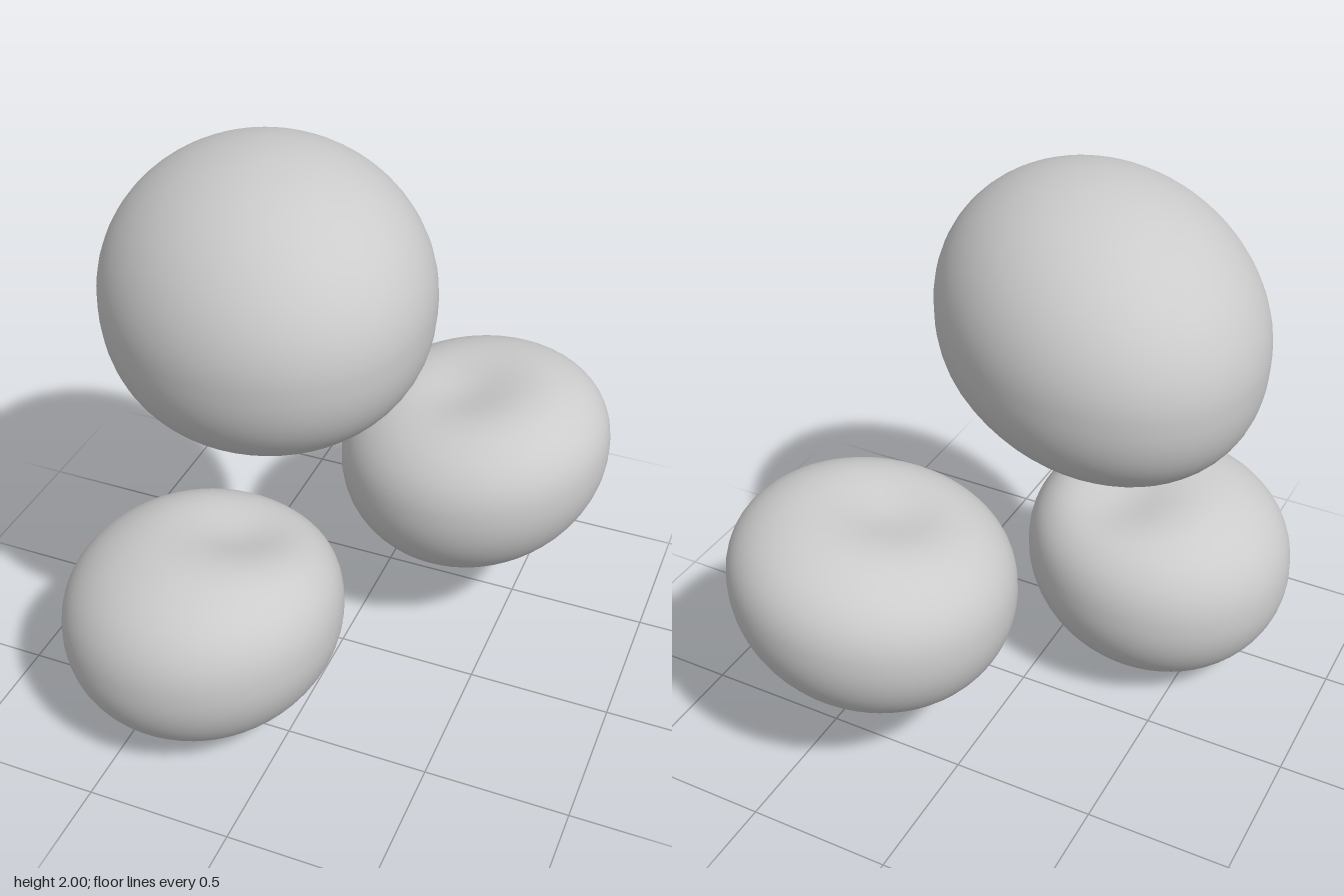
import * as THREE from 'three';
import { mergeVertices } from 'three/addons/utils/BufferGeometryUtils.js';

// Rounded blob: a full dome on one side, a flattened, dimpled face on the other.
function dimpledBlob({ rx, rz, yaw = 0, dome, flat, side, tilt, dent }) {
  let geo = new THREE.SphereGeometry(1, 56, 40);
  const pos = geo.attributes.position;
  const squareness = 2 / 2.35;
  const c = Math.cos(yaw), s = Math.sin(yaw);
  for (let i = 0; i < pos.count; i++) {
    const ux = pos.getX(i), uy = pos.getY(i), uz = pos.getZ(i);
    const rho = Math.hypot(ux, uz), t = Math.abs(uy);
    const onFlat = uy * side > 0;
    // squarer shoulder on the flattened side
    const k = onFlat && rho > 1e-6 ? Math.pow(rho, squareness) / rho : 1;
    const ex = ux * k * rx, ez = uz * k * rz;
    const x = ex * c - ez * s, z = ex * s + ez * c;
    let y = uy * dome;
    if (onFlat) {
      const d2 = (x - dent.x) ** 2 + (z - dent.z) ** 2;
      const hollow = dent.depth * Math.exp(-d2 / dent.radius ** 2) * Math.min(1, t * 2);
      y = side * (flat * Math.pow(t, squareness) - hollow);
    }
    // lean the whole body
    pos.setXYZ(i, x, y + tilt[0] * x + tilt[1] * z, z);
  }
  geo.deleteAttribute('uv');
  geo.deleteAttribute('normal');
  geo = mergeVertices(geo, 1e-5);
  geo.computeVertexNormals();
  return geo;
}

export function createModel() {
  const group = new THREE.Group();
  const material = new THREE.MeshStandardMaterial({ color: 0xcccccc, roughness: 0.7 });

  const blobs = [
    { // large blob, hollow underneath
      name: 'upperBlob', at: [-0.213, 1.53, 0.12],
      rx: 0.625, rz: 0.52, yaw: Math.PI / 4, dome: 0.468, flat: 0.45, side: -1,
      tilt: [0.06, -0.02], dent: { x: 0.1, z: -0.06, depth: 0.13, radius: 0.28 },
    },
    { // front blob, hollow on top
      name: 'frontBlob', at: [-0.33, 0.415, 0.45],
      rx: 0.48, rz: 0.48, dome: 0.41, flat: 0.35, side: 1,
      tilt: [0.08, 0.0], dent: { x: 0.1, z: -0.13, depth: 0.08, radius: 0.2 },
    },
    { // back blob, hollow on top
      name: 'backBlob', at: [0.33, 0.685, -0.45],
      rx: 0.48, rz: 0.48, dome: 0.415, flat: 0.315, side: 1,
      tilt: [0.09, -0.04], dent: { x: -0.05, z: 0.05, depth: 0.07, radius: 0.2 },
    },
  ];

  for (const blob of blobs) {
    const mesh = new THREE.Mesh(dimpledBlob(blob), material);
    mesh.name = blob.name;
    mesh.position.set(...blob.at);
    group.add(mesh);
  }
  return group;
}
